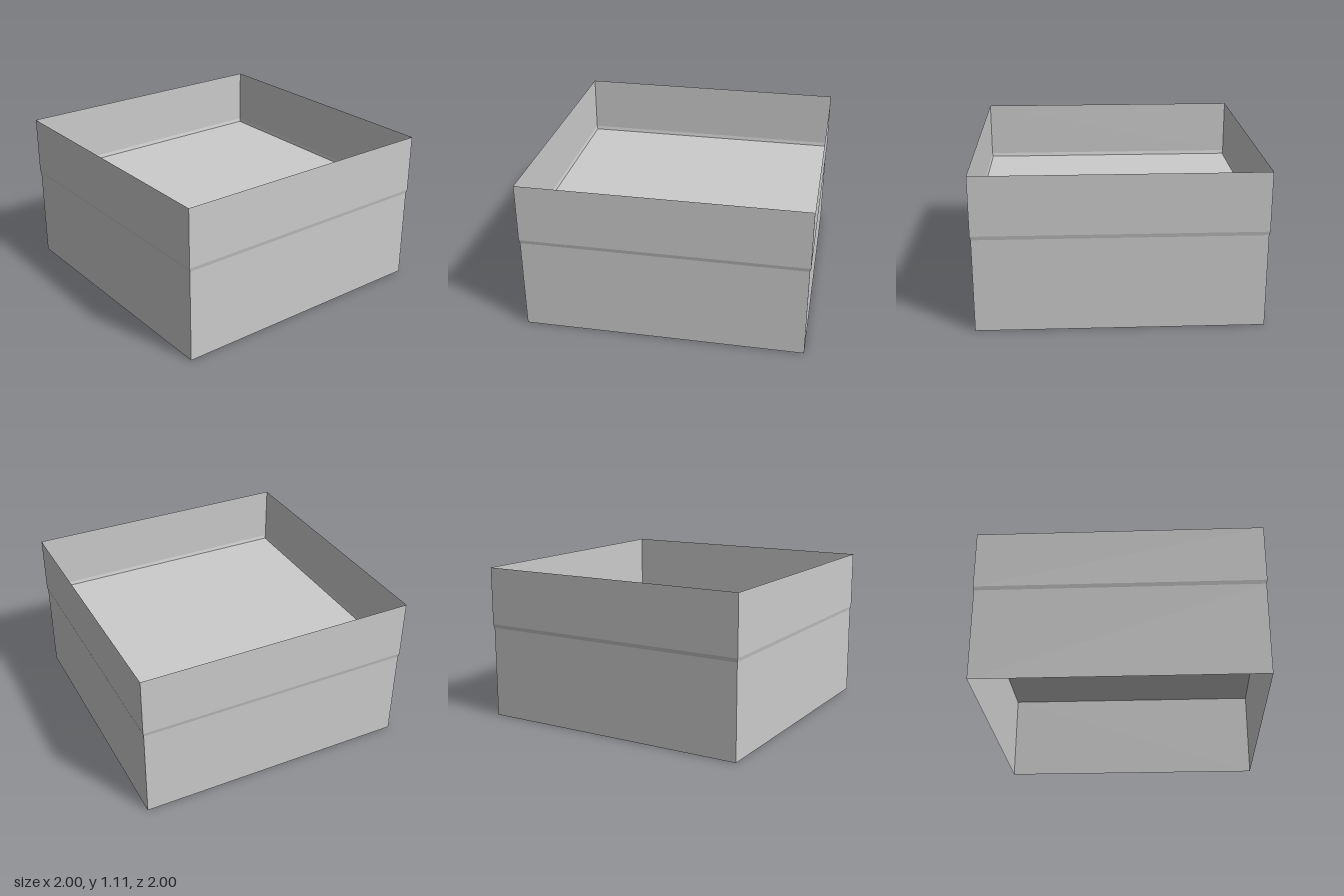
import * as THREE from 'three';

const material = new THREE.MeshStandardMaterial({
  color: 0xcccccc, flatShading: true, side: THREE.DoubleSide,
});

// Square ring of four thin walls between two heights, given half widths
function squareWall(name, halfBottom, halfTop, y0, y1) {
  const geometry = new THREE.CylinderGeometry(
    halfTop * Math.SQRT2, halfBottom * Math.SQRT2, y1 - y0, 4, 1, true);
  geometry.rotateY(Math.PI / 4);
  geometry.translate(0, (y0 + y1) / 2, 0);
  const mesh = new THREE.Mesh(geometry, material);
  mesh.name = name;
  return mesh;
}

export function createModel() {
  const group = new THREE.Group();
  group.name = 'openBox';
  const inner = 0.994, outer = 1;
  const floorY = 0.663, stepY = 0.69, topY = 1.107;

  // Lower skirt, narrow sloping step and slightly wider upper rim
  group.add(
    squareWall('lowerWalls', inner, inner, 0, floorY),
    squareWall('stepBand', inner, outer, floorY, stepY),
    squareWall('upperWalls', outer, outer, stepY, topY),
  );

  // Horizontal panel dividing the upper tray from the hollow underside
  const panel = new THREE.Mesh(
    new THREE.PlaneGeometry(inner * 2, inner * 2).rotateX(-Math.PI / 2), material);
  panel.position.y = floorY;
  panel.name = 'dividingPanel';
  group.add(panel);
  return group;
}
